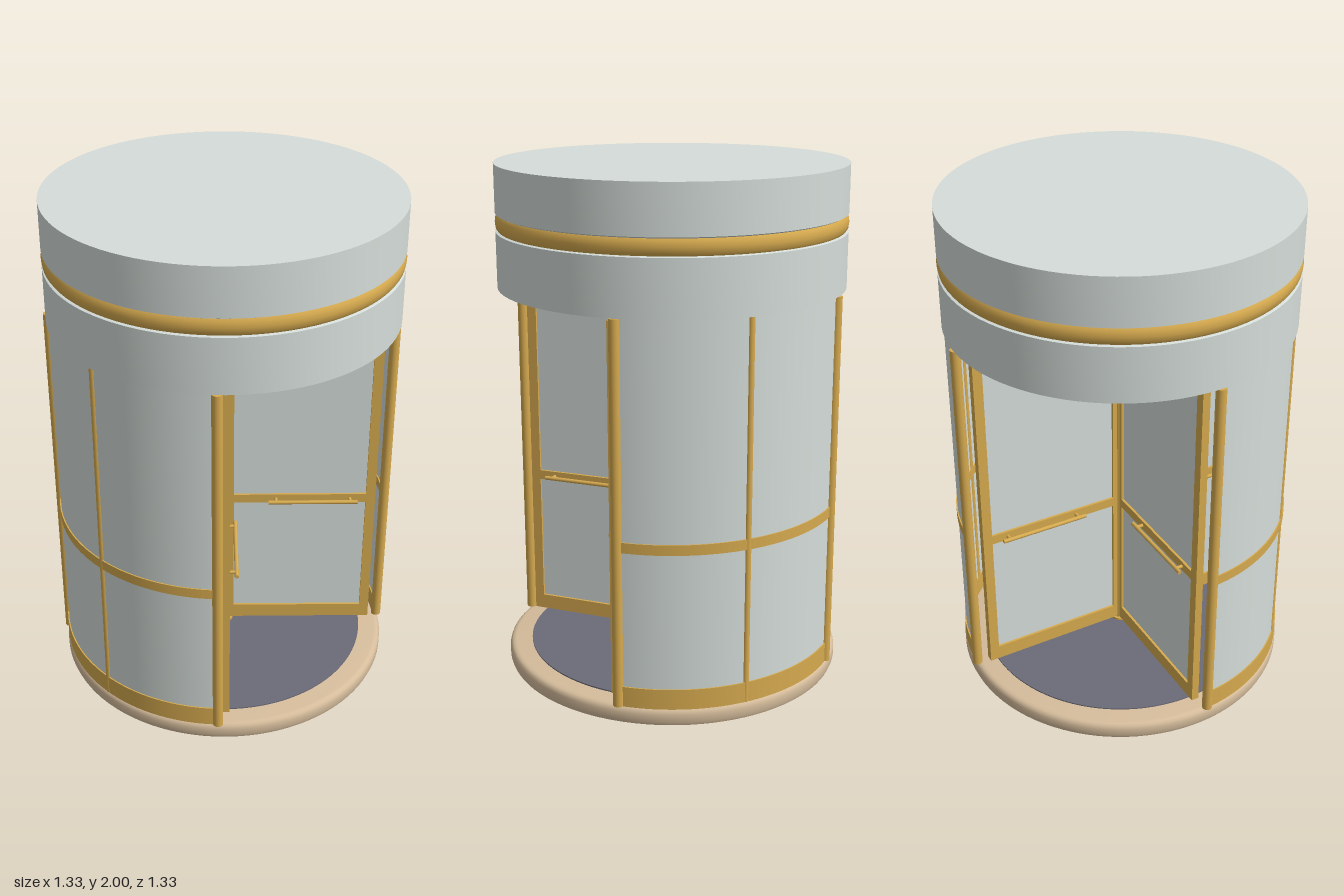
import * as THREE from 'three';
import { toCreasedNormals } from 'three/addons/utils/BufferGeometryUtils.js';

const mat = (name, color) => {
  const m = new THREE.MeshStandardMaterial({ color });
  m.name = name;
  return m;
};

export function createModel() {
  const brass = mat('brass', 0xd6aa4f);
  const panel = mat('pale panel', 0xd5ddd9);
  const stone = mat('beige stone', 0xd6bd9c);
  const mat_ = mat('floor mat', 0x6c6c7a);

  const model = new THREE.Group();
  model.name = 'revolvingDoor';

  const add = (parent, name, geo, material, x = 0, y = 0, z = 0) => {
    const mesh = new THREE.Mesh(geo, material);
    mesh.name = name;
    mesh.position.set(x, y, z);
    parent.add(mesh);
    return mesh;
  };
  const box = (parent, name, material, x0, x1, y0, y1, z0, z1) =>
    add(parent, name, new THREE.BoxGeometry(x1 - x0, y1 - y0, z1 - z0), material,
      (x0 + x1) / 2, (y0 + y1) / 2, (z0 + z1) / 2);
  const rod = (parent, name, r, y0, y1, x = 0, z = 0) =>
    add(parent, name, new THREE.CylinderGeometry(r, r, y1 - y0, 24), brass, x, (y0 + y1) / 2, z);
  // Turned solid; edges stay sharp where the profile bends strongly
  const turned = (name, material, profile) =>
    add(model, name, toCreasedNormals(
      new THREE.LatheGeometry(profile.map(([r, y]) => new THREE.Vector2(r, y)), 96), 0.7), material);
  // Curved slab about the +x axis, between two radii and two heights
  const sector = (parent, name, material, r0, r1, half, y0, y1) => {
    const s = new THREE.Shape();
    s.absarc(0, 0, r1, -half, half, false);
    s.absarc(0, 0, r0, half, -half, true);
    const geo = new THREE.ExtrudeGeometry(s, { depth: y1 - y0, bevelEnabled: false, curveSegments: 32 });
    geo.rotateX(-Math.PI / 2);
    return add(parent, name, toCreasedNormals(geo, 0.6), material, 0, y0, 0);
  };

  // Base and floor
  turned('base', stone, [[0, 0], [0.65, 0], [0.66, 0.005], [0.665, 0.018], [0.665, 0.048],
    [0.661, 0.06], [0.653, 0.068], [0.64, 0.07], [0, 0.07]]);
  add(model, 'floorMat', new THREE.CylinderGeometry(0.575, 0.575, 0.006, 96), mat_, 0, 0.072, 0);

  // Canopy drum with a bulging brass band
  turned('canopyLower', panel, [[0, 1.535], [0.665, 1.535], [0.665, 1.748], [0.655, 1.752], [0, 1.752]]);
  turned('canopyUpper', panel, [[0, 1.812], [0.655, 1.812], [0.665, 1.817], [0.665, 2], [0, 2]]);
  turned('canopyBand', brass, [[0.64, 1.75], [0.656, 1.752], [0.663, 1.762], [0.666, 1.782],
    [0.663, 1.802], [0.656, 1.812], [0.64, 1.814]]);

  // Curved side walls with kick plate, rail, mullion and end posts
  const half = 0.73;
  for (const side of [0, 1]) {
    const wall = new THREE.Group();
    wall.name = side ? 'rightWall' : 'leftWall';
    wall.rotation.y = side * Math.PI;
    model.add(wall);
    sector(wall, 'wallPanel', panel, 0.645, 0.657, half, 0.07, 1.535);
    sector(wall, 'kickPlate', brass, 0.64, 0.662, half - 0.015, 0.07, 0.15);
    sector(wall, 'wallRail', brass, 0.64, 0.662, half - 0.015, 0.68, 0.72);
    rod(wall, 'mullion', 0.013, 0.07, 1.535, 0.651, 0);
    for (const z of [-0.442, 0.442]) rod(wall, 'endPost', 0.02, 0.07, 1.535, 0.485, z);
  }

  // Central shaft with collars
  rod(model, 'shaft', 0.026, 0.07, 1.535);
  rod(model, 'bottomCollar', 0.037, 0.07, 0.085);
  rod(model, 'topCollar', 0.037, 1.517, 1.535);

  // Four door wings
  for (let i = 0; i < 4; i++) {
    const wing = new THREE.Group();
    wing.name = 'wing' + (i + 1);
    wing.rotation.y = Math.PI / 4 + i * Math.PI / 2;
    model.add(wing);
    const t = 0.015;
    box(wing, 'wingPanel', panel, 0.02, 0.59, 0.12, 1.49, -0.005, 0.005);
    box(wing, 'outerStile', brass, 0.576, 0.614, 0.09, 1.515, -t, t);
    box(wing, 'innerStile', brass, 0.015, 0.04, 0.09, 1.515, -t, t);
    box(wing, 'topRail', brass, 0.03, 0.58, 1.475, 1.515, -t, t);
    box(wing, 'middleRail', brass, 0.03, 0.58, 0.672, 0.71, -t, t);
    box(wing, 'bottomRail', brass, 0.03, 0.58, 0.09, 0.15, -t, t);

    // Push bars on both faces
    for (const s of [-1, 1]) {
      const bar = add(wing, 'pushBar', new THREE.CylinderGeometry(0.008, 0.008, 0.36, 16), brass, 0.36, 0.69, s * 0.042);
      bar.rotation.z = Math.PI / 2;
      for (const x of [0.21, 0.51]) {
        const stub = add(wing, 'pushBarMount', new THREE.CylinderGeometry(0.007, 0.007, 0.032, 12), brass, x, 0.69, s * 0.026);
        stub.rotation.x = Math.PI / 2;
      }
    }
  }
  return model;
}
